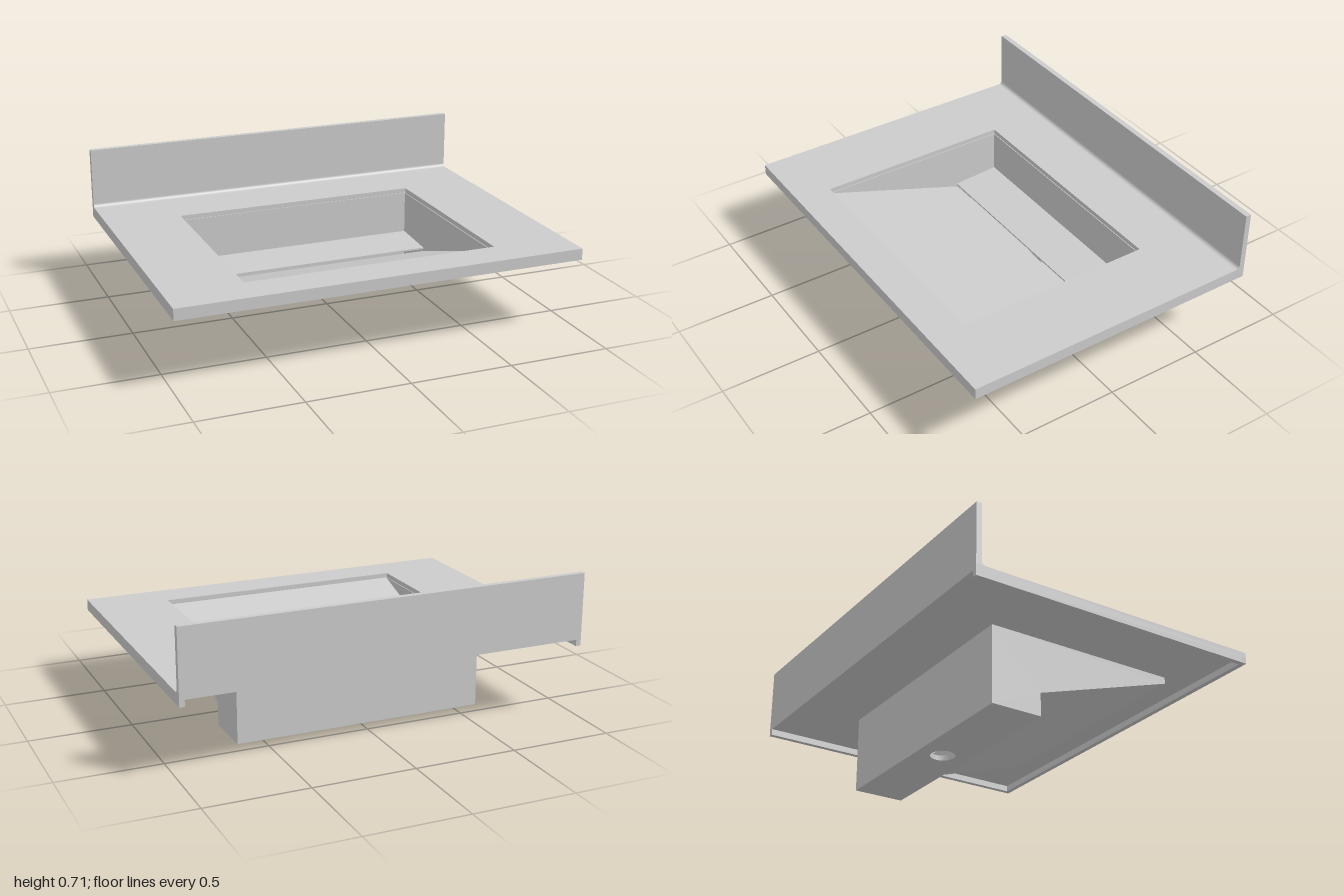
import * as THREE from 'three';

const material = new THREE.MeshStandardMaterial({ color: 0xcccccc, side: THREE.DoubleSide });
const W = 0.625;              // half width of the basin
const BACK = -0.425, FRONT = 0.57;
const TOP = 0.412, UNDER = 0.388, RIM = 0.356;

function add(group, name, geometry, x = 0, y = 0, z = 0) {
  const mesh = new THREE.Mesh(geometry, material);
  mesh.name = name;
  mesh.position.set(x, y, z);
  group.add(mesh);
  return mesh;
}

// Side profile given as [z, y] points, extruded along x and centred on x = 0
function shapeZY(points) {
  return new THREE.Shape(points.map(([z, y]) => new THREE.Vector2(-z, y)));
}
function extrudeX(shape, width) {
  return new THREE.ExtrudeGeometry(shape, { depth: width, bevelEnabled: false, curveSegments: 10 })
    .translate(0, 0, -width / 2).rotateY(Math.PI / 2);
}

// Plan rectangle with a hole, laid flat with its underside at y = 0
function plate(x0, x1, z0, z1, hole, thickness) {
  const s = rectPath(new THREE.Shape(), x0, x1, z0, z1);
  s.holes.push(hole);
  return new THREE.ExtrudeGeometry(s, { depth: thickness, bevelEnabled: false, curveSegments: 24 })
    .rotateX(-Math.PI / 2);
}
function rectPath(path, x0, x1, z0, z1) {
  return path.moveTo(x0, -z0).lineTo(x1, -z0).lineTo(x1, -z1).lineTo(x0, -z1).closePath();
}

export function createModel() {
  const model = new THREE.Group();
  model.name = 'washbasin';

  // Counter slab with the basin opening
  const opening = rectPath(new THREE.Path(), -W, W, BACK, FRONT);
  add(model, 'counterTop', plate(-1, 1, -0.75, 0.75, opening, TOP - UNDER), 0, UNDER, 0);

  // Apron below the front and side edges; the back stays open
  const drop = UNDER - RIM, apronY = RIM + drop / 2;
  add(model, 'frontApron', new THREE.BoxGeometry(2, drop, 0.025), 0, apronY, 0.7375);
  for (const side of [-1, 1]) {
    add(model, side > 0 ? 'leftApron' : 'rightApron',
      new THREE.BoxGeometry(0.025, drop, 1.5), side * 0.9875, apronY, 0);
  }

  // Upstand along the back with a coved joint
  const r = 0.02, face = -0.722;
  const upstand = new THREE.Shape();
  upstand.moveTo(0.75, TOP).lineTo(0.75, 0.715).lineTo(-face, 0.715).lineTo(-face, TOP + r);
  upstand.absarc(-face - r, TOP + r, r, 0, -Math.PI / 2, true);
  upstand.closePath();
  add(model, 'backsplash', extrudeX(upstand, 2));

  const basin = new THREE.Group();
  basin.name = 'basin';
  model.add(basin);

  // Sloping bottom that turns down into the front of the drain trough
  add(basin, 'ramp', extrudeX(shapeZY([
    [FRONT, UNDER], [FRONT, RIM], [-0.165, 0.116], [-0.165, 0], [-0.18, 0], [-0.18, 0.138],
  ]), 2 * W - 0.004));

  // Thin side walls
  const wall = shapeZY([
    [FRONT, UNDER], [FRONT, RIM], [-0.165, 0.116], [-0.165, 0], [BACK, 0], [BACK, UNDER],
  ]);
  for (const side of [-1, 1]) {
    add(basin, side > 0 ? 'leftWall' : 'rightWall', extrudeX(wall, 0.004), side * (W - 0.002));
  }
  add(basin, 'backWall', new THREE.BoxGeometry(2 * W, UNDER, 0.004), 0, UNDER / 2, BACK + 0.002);

  // Trough floor with the round drain hole
  const drain = new THREE.Path().absarc(0, 0.295, 0.06, 0, Math.PI * 2, true);
  add(basin, 'troughFloor', plate(-W + 0.002, W - 0.002, BACK + 0.002, -0.166, drain, 0.025));

  // Cover over the trough, leaving a narrow slot at its front edge
  add(basin, 'drainCover', extrudeX(shapeZY([
    [BACK + 0.003, 0.172], [-0.18, 0.156], [-0.18, 0.148], [BACK + 0.003, 0.16],
  ]), 2 * W - 0.008));

  return model;
}
